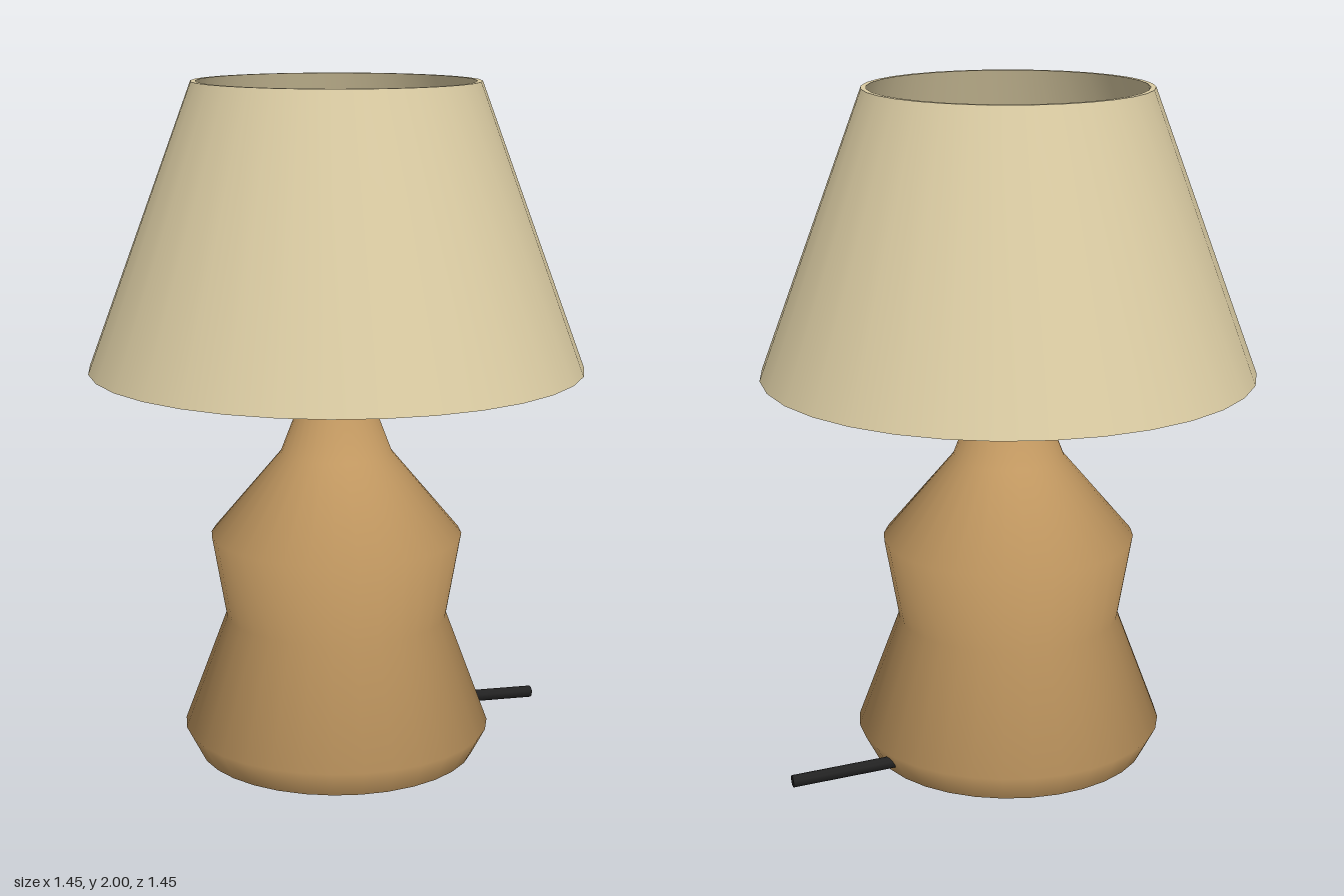
import * as THREE from 'three';
import { toCreasedNormals } from 'three/addons/utils/BufferGeometryUtils.js';

const SIDES = 32;

function part(name, geometry, color) {
  const mesh = new THREE.Mesh(geometry, new THREE.MeshStandardMaterial({ color }));
  mesh.name = name;
  return mesh;
}

// Turned solid: smooth along the wall, sharp at rims and caps
function turned(profile) {
  const points = profile.map(([r, y]) => new THREE.Vector2(r, y));
  return toCreasedNormals(new THREE.LatheGeometry(points, SIDES), 0.95);
}

export function createModel() {
  const lamp = new THREE.Group();
  lamp.name = 'tableLamp';

  // Turned wooden body, closed at foot and neck
  lamp.add(part('body', turned([
    [0, 0], [0.415, 0], [0.457, 0.08], [0.33, 0.42],
    [0.373, 0.667], [0.165, 0.915], [0.1, 1.085], [0, 1.085],
  ]), 0xc49a62));

  // Brass stem between neck and bulb
  const stem = part('stem', new THREE.CylinderGeometry(0.046, 0.046, 0.3, 16), 0xab9455);
  stem.position.y = 1.23;
  lamp.add(stem);

  // Bulb
  const bulb = part('bulb', new THREE.SphereGeometry(0.18, 12, 8), 0xf5e8c8);
  bulb.position.y = 1.54;
  lamp.add(bulb);

  // Open conical shade with a thin wall
  lamp.add(part('shade', turned([
    [0.725, 1.17], [0.417, 2], [0.402, 2], [0.71, 1.17], [0.725, 1.17],
  ]), 0xdccda4));

  // Power cord leaving the back of the foot
  const start = new THREE.Vector3(0.015, 0.048, -0.37);
  const end = new THREE.Vector3(0.163, 0.03, -0.708);
  const span = end.clone().sub(start);
  const cord = part('cord', new THREE.CylinderGeometry(0.018, 0.018, span.length(), 8), 0x222222);
  cord.position.copy(start).add(end).multiplyScalar(0.5);
  cord.quaternion.setFromUnitVectors(new THREE.Vector3(0, 1, 0), span.normalize());
  lamp.add(cord);

  return lamp;
}
